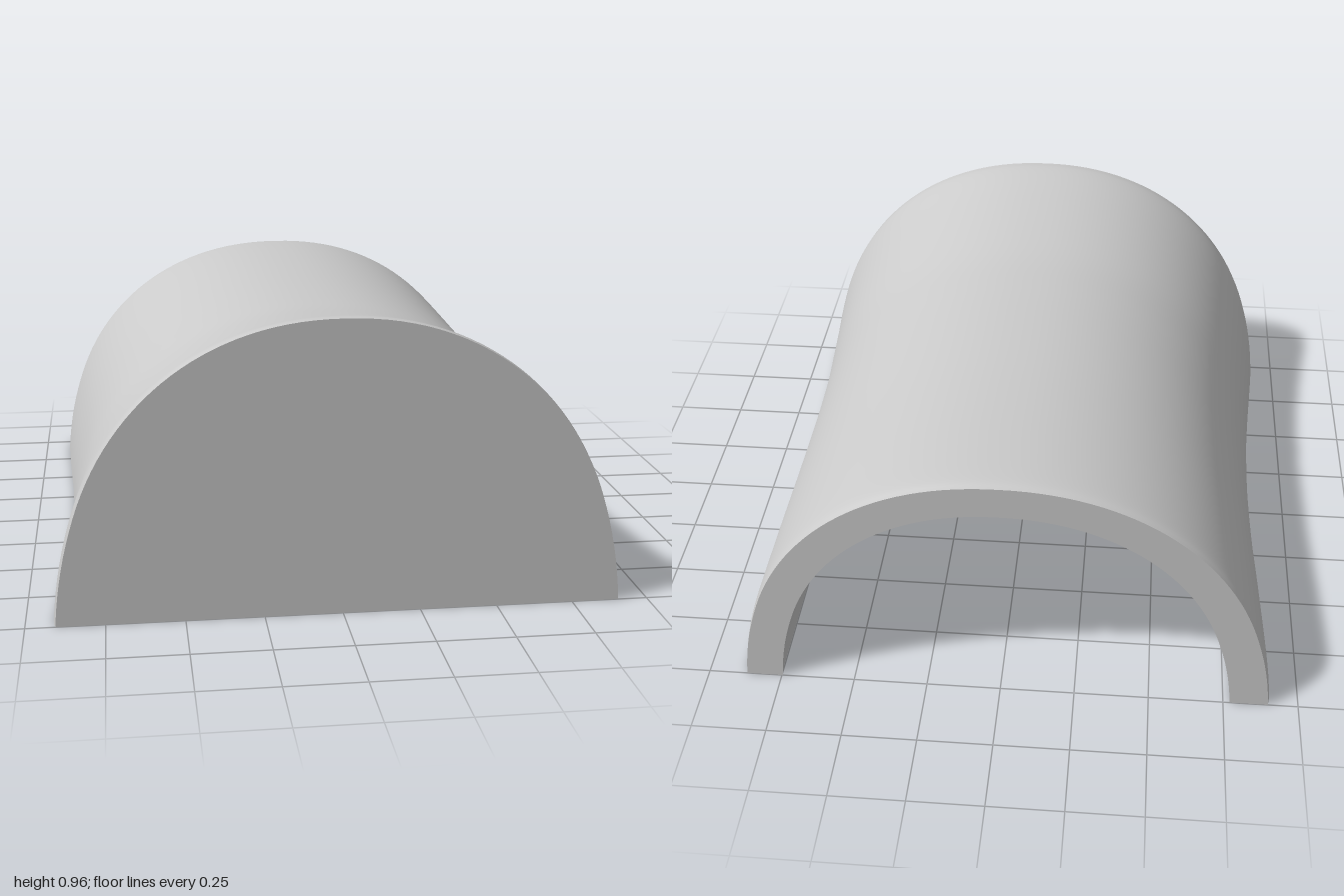
import * as THREE from 'three';

const NU = 72, NV = 60, WALL = 0.09;

// Surface from a rule point(u, v) -> Vector3; faces along du x dv unless flipped
function surface(name, material, nu, nv, point, flip = false) {
  const pos = [], idx = [];
  for (let j = 0; j <= nv; j++) {
    for (let i = 0; i <= nu; i++) pos.push(...point(i / nu, j / nv).toArray());
  }
  for (let j = 0; j < nv; j++) {
    for (let i = 0; i < nu; i++) {
      const a = j * (nu + 1) + i, b = a + 1, c = a + nu + 1, d = c + 1;
      idx.push(...(flip ? [a, c, b, b, c, d] : [a, b, c, b, d, c]));
    }
  }
  const g = new THREE.BufferGeometry();
  g.setAttribute('position', new THREE.Float32BufferAttribute(pos, 3));
  g.setIndex(idx);
  g.computeVertexNormals();
  const mesh = new THREE.Mesh(g, material);
  mesh.name = name;
  return mesh;
}

const spline = (pts) => new THREE.CatmullRomCurve3(
  pts.map((p) => new THREE.Vector3(...p)), false, 'catmullrom', 0.5);

// Stations along the length: z, left half-width, right half-width, crown height
const stations = [
  [-1, 0.87, 0.9, 0.866], [-0.95, 0.876, 0.905, 0.874], [-0.8, 0.876, 0.9, 0.873],
  [-0.55, 0.875, 0.888, 0.866], [-0.3, 0.872, 0.875, 0.861], [0, 0.87, 0.868, 0.86],
  [0.2, 0.872, 0.87, 0.861], [0.4, 0.877, 0.875, 0.866], [0.6, 0.888, 0.887, 0.89],
  [0.8, 0.9, 0.902, 0.924], [0.95, 0.91, 0.912, 0.956], [1, 0.905, 0.906, 0.958],
];
const leftLine = spline(stations.map(([z, l, , h]) => [l, h, z]));
const rightLine = spline(stations.map(([z, , r, h]) => [r, h, z]));

// Unit half section from foot (t = 0) to crown (t = 1): a full arch with gently flared feet
function halfSection(t) {
  const a = t * Math.PI / 2, e = 2 / 2.15;
  const y = Math.sin(a) ** e;
  const flare = 0.018 * Math.max(0, 1 - y / 0.35) ** 1.5;
  return [0.982 * Math.max(0, Math.cos(a)) ** e + flare, y];
}

// u runs over the arch from left foot to right foot, v from back to front
function outer(u, v) {
  const isLeft = u <= 0.5;
  const [x, y] = halfSection(isLeft ? u * 2 : (1 - u) * 2);
  const line = (isLeft ? leftLine : rightLine).getPoint(v);
  return new THREE.Vector3((isLeft ? 1 : -1) * x * line.x, y * line.y, line.z);
}

function inner(u, v) {
  const p = outer(u, v);
  return p.set(p.x * 0.858, p.y * 0.872, -1 + (p.z + 1) * (1 - WALL / 2));
}

export function createModel() {
  const group = new THREE.Group();
  group.name = 'archedShell';
  const grey = new THREE.MeshStandardMaterial({ color: 0xcacaca });
  grey.name = 'plain grey';
  const floor = (p) => new THREE.Vector3(p.x, 0, p.z);

  // Vault skins
  group.add(surface('outerVault', grey, NU, NV, outer));
  group.add(surface('innerVault', grey, NU, NV, inner, true));

  // Closed front wall, both faces
  group.add(surface('frontWall', grey, NU, 1,
    (u, v) => floor(outer(u, 1)).lerp(outer(u, 1), v), true));
  group.add(surface('frontWallInside', grey, NU, 1,
    (u, v) => floor(inner(u, 1)).lerp(inner(u, 1), v)));

  // Rim around the open back
  group.add(surface('backRim', grey, NU, 1,
    (u, v) => inner(u, 0).lerp(outer(u, 0), v)));

  // Flat underside of the walls
  for (const [name, foot] of [['leftFoot', 0], ['rightFoot', 1]]) {
    group.add(surface(name, grey, NV, 1,
      (u, v) => inner(foot, u).lerp(outer(foot, u), v), foot === 0));
  }
  group.add(surface('frontFoot', grey, 1, 1,
    (u, v) => inner(1 - u, 1).lerp(outer(1 - u, 1), v)));

  return group;
}
